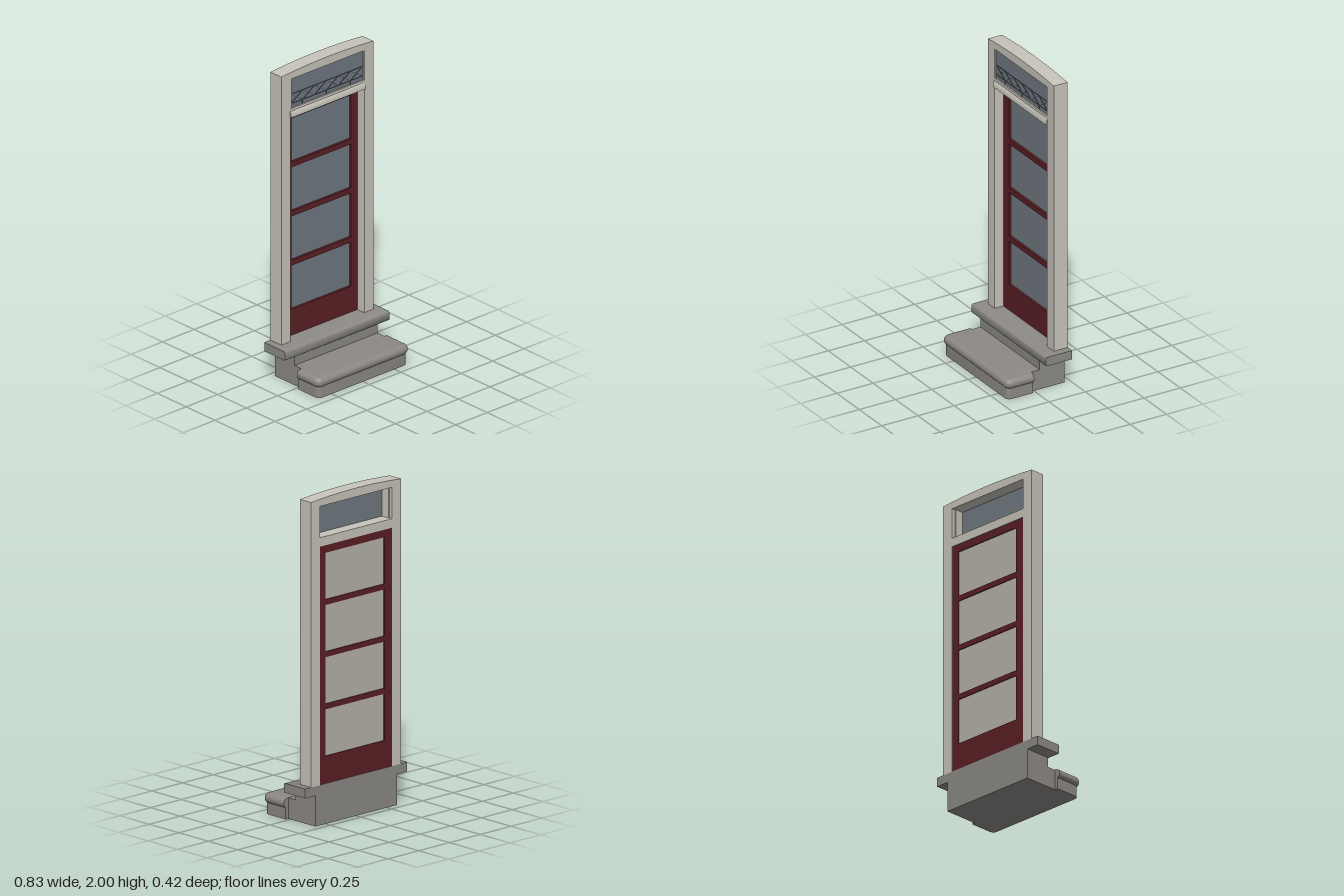
import * as THREE from 'three';
import { toCreasedNormals } from 'three/addons/utils/BufferGeometryUtils.js';

const mat = (color) => new THREE.MeshStandardMaterial({ color });

export function createModel() {
  const model = new THREE.Group();
  const stone = mat(0x8c8985), cream = mat(0xc8c4ba), red = mat(0x5a1f24);
  const glass = mat(0x6f7880), blind = mat(0xb4b2a8), lead = mat(0x4a5056);
  const BACK = -0.21, FRONT = -0.115;

  function add(name, geometry, material, parent = model) {
    const mesh = new THREE.Mesh(geometry, material);
    mesh.name = name;
    parent.add(mesh);
    return mesh;
  }
  // Box given by its limits on each axis
  function box(name, material, [x0, x1], [y0, y1], [z0, z1], parent) {
    const g = new THREE.BoxGeometry(x1 - x0, y1 - y0, z1 - z0);
    g.translate((x0 + x1) / 2, (y0 + y1) / 2, (z0 + z1) / 2);
    return add(name, g, material, parent);
  }
  // Side profile of [z, y] points run across x
  function moulding(name, material, halfWidth, points) {
    const shape = new THREE.Shape(points.map(([z, y]) => new THREE.Vector2(-z, y)));
    const g = new THREE.ExtrudeGeometry(shape, { depth: halfWidth * 2, bevelEnabled: false });
    g.rotateY(Math.PI / 2).translate(-halfWidth, 0, 0);
    return add(name, toCreasedNormals(g, 0.9), material);
  }

  // Stone base and riser under the sill
  box('base', stone, [-0.33, 0.33], [0, 0.128], [BACK, 0.02]);
  box('riser', stone, [-0.33, 0.33], [0.128, 0.19], [BACK, -0.04]);

  // Step plan with rounded front corners, drawn as (x, -z)
  function stepPlan(halfWidth, front, back, r) {
    const s = new THREE.Shape();
    s.moveTo(-halfWidth, -back);
    s.lineTo(-halfWidth, -front + r);
    s.absarc(-halfWidth + r, -front + r, r, Math.PI, Math.PI * 1.5);
    s.lineTo(halfWidth - r, -front);
    s.absarc(halfWidth - r, -front + r, r, Math.PI * 1.5, Math.PI * 2);
    s.lineTo(halfWidth, -back);
    return s;
  }
  const lower = new THREE.ExtrudeGeometry(stepPlan(0.352, 0.195, 0.02, 0.028),
    { depth: 0.075, bevelEnabled: false, curveSegments: 8 });
  lower.rotateX(-Math.PI / 2);
  add('stepBody', toCreasedNormals(lower, 0.6), stone);

  // Bullnose tread, its back end cut flat
  const tread = new THREE.ExtrudeGeometry(stepPlan(0.337, 0.177, -0.04, 0.012), {
    depth: 0.002, bevelThickness: 0.03, bevelSize: 0.03, bevelSegments: 8, curveSegments: 8,
  });
  tread.rotateX(-Math.PI / 2).translate(0, 0.097, 0);
  const p = tread.attributes.position;
  for (let i = 0; i < p.count; i++) p.setZ(i, Math.max(p.getZ(i), 0.02));
  add('stepTread', toCreasedNormals(tread, 0.6), stone);

  // Sill with eased front edges
  moulding('sill', stone, 0.415, [
    [BACK, 0.188], [-0.034, 0.188], [-0.03, 0.192], [-0.03, 0.237],
    [-0.033, 0.242], [-0.038, 0.245], [BACK, 0.245],
  ]);

  // Frame posts and transom jambs
  for (const s of [-1, 1]) {
    const span = (a, b) => [Math.min(s * a, s * b), Math.max(s * a, s * b)];
    box('post', cream, span(0.293, 0.366), [0.245, 1.95], [BACK, FRONT]);
    box('transomJamb', cream, span(0.285, 0.293), [1.755, 1.95], [-0.185, FRONT - 0.002]);
  }

  // Header with a shallow arched top
  const arch = new THREE.Shape();
  arch.moveTo(-0.366, 1.946);
  arch.lineTo(0.366, 1.946);
  arch.lineTo(0.366, 1.984);
  arch.quadraticCurveTo(0, 2.016, -0.366, 1.984);
  const header = new THREE.ExtrudeGeometry(arch,
    { depth: FRONT - BACK, bevelEnabled: false, curveSegments: 16 });
  header.translate(0, 0, BACK);
  add('header', toCreasedNormals(header, 0.4), cream);

  // Transom bar with a sloping drip moulding
  box('transomBar', cream, [-0.293, 0.293], [1.7, 1.755], [BACK, FRONT]);
  moulding('dripMoulding', cream, 0.296, [
    [FRONT - 0.005, 1.7], [-0.105, 1.7], [-0.105, 1.708], [-0.111, 1.735], [FRONT - 0.005, 1.742],
  ]);

  // Transom light with leaded lattice
  box('transomGlass', glass, [-0.286, 0.286], [1.754, 1.947], [-0.13, -0.124]);
  const lattice = new THREE.Group();
  lattice.name = 'lattice';
  model.add(lattice);
  function strip(x0, y0, x1, y1) {
    const g = new THREE.BoxGeometry(Math.hypot(x1 - x0, y1 - y0), 0.004, 0.004);
    g.rotateZ(Math.atan2(y1 - y0, x1 - x0)).translate((x0 + x1) / 2, (y0 + y1) / 2, -0.123);
    add('latticeStrip', g, lead, lattice);
  }
  const low = 1.78, high = 1.842, cell = 0.095;
  strip(-0.285, low, 0.285, low);
  strip(-0.285, high, 0.285, high);
  for (let i = 0; i < 6; i++) {
    const x = -0.285 + i * cell;
    strip(x, low, x + cell, high);
    strip(x, high, x + cell, low);
    if (i % 2) strip(x, 1.755, x, low);
  }

  // Door leaf with four openings
  const rect = (path, x0, x1, y0, y1) => {
    path.moveTo(x0, y0);
    path.lineTo(x1, y0);
    path.lineTo(x1, y1);
    path.lineTo(x0, y1);
    path.closePath();
    return path;
  };
  const leaf = rect(new THREE.Shape(), -0.294, 0.294, 0.245, 1.702);
  for (let i = 0; i < 4; i++) {
    const y = 0.412 + i * 0.3185;
    leaf.holes.push(rect(new THREE.Path(), -0.232, 0.244, y, y + 0.285));
    // Pane faces the front, blind fills the back
    box('doorPane', glass, [-0.236, 0.248], [y - 0.004, y + 0.289], [-0.194, -0.19]);
    box('doorBlind', blind, [-0.236, 0.248], [y - 0.004, y + 0.289], [-0.2, -0.195]);
  }
  const door = new THREE.ExtrudeGeometry(leaf, { depth: 0.031, bevelEnabled: false });
  door.translate(0, 0, -0.206);
  add('door', door, red);

  return model;
}
